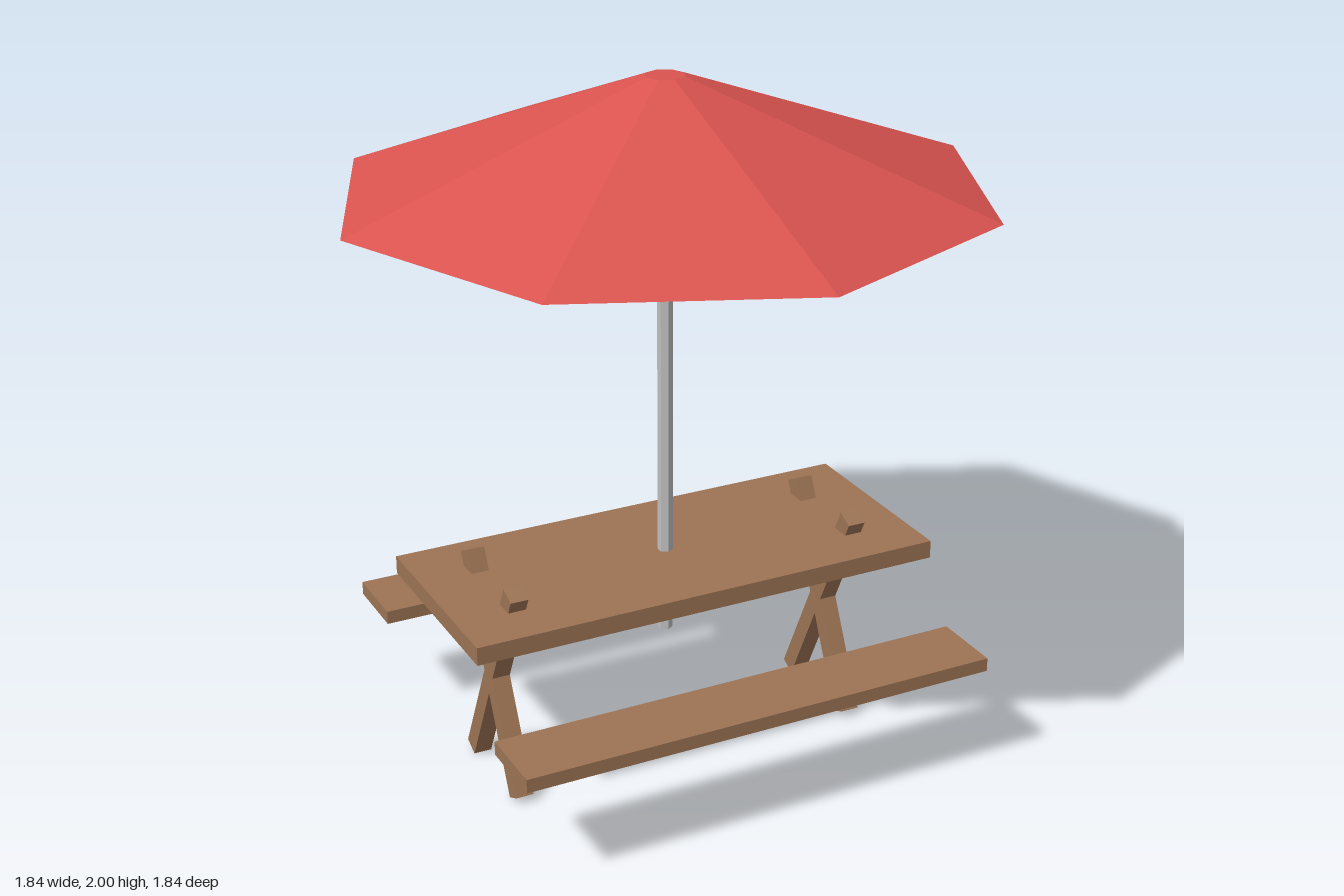
import * as THREE from 'three';

export function createModel() {
  const group = new THREE.Group();
  const material = (name, color) => {
    const m = new THREE.MeshStandardMaterial({ color, flatShading: true });
    m.name = name;
    return m;
  };
  const wood = material('wood', 0x9d7454);
  const metal = material('metal', 0xc0c0c0);
  const fabric = material('red fabric', 0xd9534f);

  const add = (name, geometry, mat, x, y, z) => {
    const mesh = new THREE.Mesh(geometry, mat);
    mesh.name = name;
    mesh.position.set(x, y, z);
    group.add(mesh);
    return mesh;
  };

  // Table top
  add('tableTop', new THREE.BoxGeometry(1.418, 0.053, 0.603), wood, 0, 0.577, 0);

  for (const side of [1, -1]) {
    // Bench on each long side
    add(side > 0 ? 'frontBench' : 'backBench',
      new THREE.BoxGeometry(1.418, 0.04, 0.212), wood, 0, 0.354, side * 0.511);

    // Crossed legs at each end, poking through the table top
    for (const tilt of [0.45, -0.45]) {
      const leg = add(side > 0 ? 'leftLeg' : 'rightLeg',
        new THREE.BoxGeometry(0.053, 0.713, 0.053), wood, side * 0.532, 0.333, 0);
      leg.rotation.x = tilt;
    }
  }

  // Six-sided pole from just below the table up into the canopy
  const bottom = 0.352, top = 1.69;
  add('pole', new THREE.CylinderGeometry(0.022, 0.022, top - bottom, 6), metal,
    0, (top + bottom) / 2, 0);

  // Eight-sided closed canopy with a small flat top
  add('canopy', new THREE.CylinderGeometry(0.057, 0.92, 0.318, 8), fabric, 0, 1.841, 0);

  return group;
}
